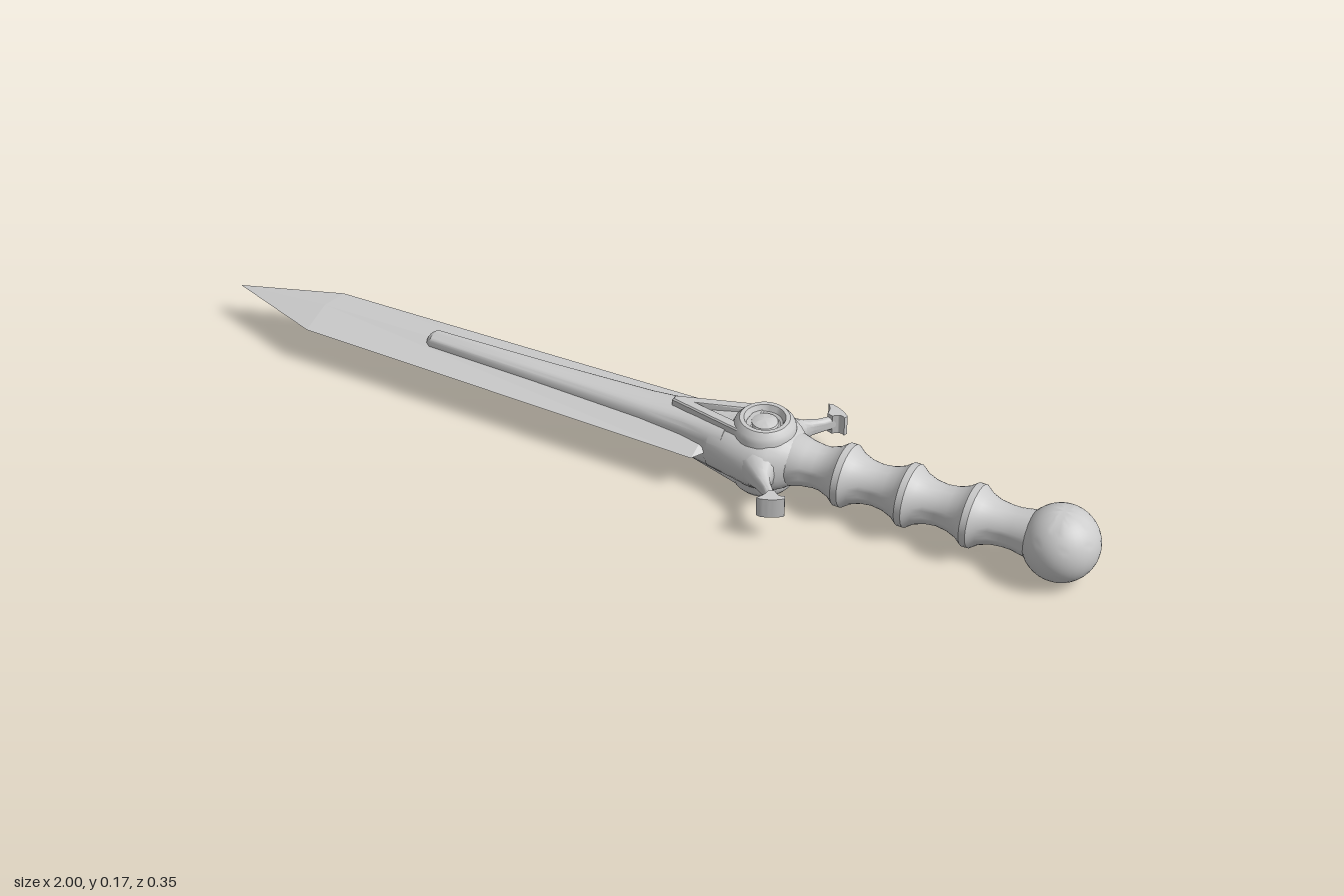
import * as THREE from 'three';
import { toCreasedNormals } from 'three/addons/utils/BufferGeometryUtils.js';

const material = new THREE.MeshStandardMaterial({ color: 0xcccccc });

function mesh(name, geometry, crease = 0.6) {
  const m = new THREE.Mesh(toCreasedNormals(geometry, crease), material);
  m.name = name;
  return m;
}

// Skin along x through superellipse rings: [x, half width z, half height y, centre z].
function loft(rings, sides, power = 2) {
  const pos = [], index = [];
  const bend = v => Math.sign(v) * Math.pow(Math.abs(v), 2 / power);
  for (const [x, w, h, z = 0] of rings) {
    for (let j = 0; j < sides; j++) {
      const a = (j / sides) * Math.PI * 2;
      pos.push(x, h * bend(Math.sin(a)), z + w * bend(Math.cos(a)));
    }
  }
  for (let i = 0; i < rings.length - 1; i++) {
    for (let j = 0; j < sides; j++) {
      const k = (j + 1) % sides, a = i * sides, b = a + sides;
      index.push(a + j, b + j, a + k, b + j, b + k, a + k);
    }
  }
  const last = (rings.length - 1) * sides;
  for (let j = 1; j < sides - 1; j++) {
    index.push(0, j, j + 1, last, last + j + 1, last + j);
  }
  const g = new THREE.BufferGeometry();
  g.setAttribute('position', new THREE.Float32BufferAttribute(pos, 3));
  g.setIndex(index);
  return g;
}

const lathe = (points, segments) =>
  new THREE.LatheGeometry(points.map(p => new THREE.Vector2(...p)), segments);

// Shared by both faces or both sides: the second copy is turned half round the long axis.
function paired(parent, make) {
  for (const turn of [0, Math.PI]) {
    const half = make();
    half.rotation.x = turn;
    parent.add(half);
  }
}

function makeBoss() {
  const boss = new THREE.Group();
  boss.name = 'guardBoss';
  // Round socket with a domed stud
  const ring = mesh('bossRing', lathe([
    [0.066, 0.03], [0.066, 0.062], [0.062, 0.072], [0.052, 0.083], [0.043, 0.083],
    [0.037, 0.07], [0.03, 0.066], [0.027, 0.073], [0.016, 0.078], [0, 0.079]], 32));
  ring.position.x = 0.27;
  boss.add(ring);
  // Pointed frame running from the socket towards the blade
  const shape = new THREE.Shape([[0.065, -0.005], [0.25, -0.052], [0.25, 0.052], [0.065, 0.005]]
    .map(p => new THREE.Vector2(...p)));
  shape.holes.push(new THREE.Path([[0.11, 0], [0.235, 0.03], [0.235, -0.03]]
    .map(p => new THREE.Vector2(...p))));
  const g = new THREE.ExtrudeGeometry(shape, {
    depth: 0.026, bevelEnabled: true, bevelSize: 0.003, bevelThickness: 0.003, bevelSegments: 1 });
  g.rotateX(-Math.PI / 2);
  const p = g.attributes.position;
  for (let i = 0; i < p.count; i++) p.setY(i, p.getY(i) + 0.034 + 0.05 * (p.getX(i) - 0.065));
  boss.add(mesh('bossFrame', g, 0.4));
  return boss;
}

function makeQuillon() {
  const quillon = new THREE.Group();
  quillon.name = 'quillon';
  // Curved horn, skinned outwards from the guard
  const horn = loft([
    [0.05, 0.06, 0.055, -0.27], [0.075, 0.045, 0.042, -0.28], [0.09, 0.03, 0.028, -0.296],
    [0.105, 0.021, 0.019, -0.315], [0.125, 0.014, 0.015, -0.338], [0.145, 0.012, 0.015, -0.355],
    [0.158, 0.014, 0.018, -0.362]], 16, 2.5);
  horn.rotateY(-Math.PI / 2);
  quillon.add(mesh('horn', horn));
  // Flared crescent end
  const s = new THREE.Shape();
  s.moveTo(0.347, 0.142);
  s.quadraticCurveTo(0.348, 0.16, 0.335, 0.173);
  s.lineTo(0.344, 0.175);
  s.quadraticCurveTo(0.37, 0.169, 0.388, 0.152);
  s.lineTo(0.385, 0.144);
  s.quadraticCurveTo(0.372, 0.153, 0.36, 0.138);
  const tip = new THREE.ExtrudeGeometry(s, { depth: 0.046, bevelEnabled: false, curveSegments: 8 });
  tip.translate(0, 0, -0.023);
  tip.rotateX(Math.PI / 2);
  quillon.add(mesh('hornTip', tip));
  return quillon;
}

export function createModel() {
  const model = new THREE.Group();
  model.name = 'dagger';
  const body = new THREE.Group();
  body.name = 'daggerBody';
  body.position.y = 0.085;
  model.add(body);

  // Diamond-section blade with a sharp point
  body.add(mesh('blade', loft([
    [-1, 0.0008, 0.0008], [-0.785, 0.076, 0.018], [0.15, 0.095, 0.028], [0.17, 0.06, 0.028]], 4), 0.05));

  // Raised spine widening towards the guard
  body.add(mesh('spine', loft([
    [-0.52, 0.018, 0.028], [-0.51, 0.024, 0.035], [-0.25, 0.031, 0.038], [0, 0.041, 0.043],
    [0.1, 0.05, 0.049], [0.16, 0.061, 0.055], [0.2, 0.068, 0.06]], 24, 3.2)));

  // Guard block
  body.add(mesh('guard', loft([
    [0.155, 0.058, 0.05], [0.17, 0.072, 0.056], [0.22, 0.08, 0.063], [0.27, 0.09, 0.069],
    [0.305, 0.087, 0.068], [0.33, 0.066, 0.062], [0.345, 0.052, 0.052]], 28, 2.3)));

  paired(body, makeBoss);
  paired(body, makeQuillon);

  // Turned grip with three double-edged ridges
  const profile = [[0, 0.32], [0.056, 0.32], [0.056, 0.345], [0.049, 0.37], [0.046, 0.395]];
  for (const c of [0.455, 0.595, 0.735]) {
    profile.push([0.047, c - 0.045], [0.055, c - 0.023], [0.064, c - 0.011], [0.067, c - 0.007],
      [0.067, c + 0.007], [0.064, c + 0.011], [0.055, c + 0.023], [0.047, c + 0.045], [0.044, c + 0.07]);
  }
  profile.push([0.044, 0.825], [0.05, 0.86]);
  const grip = mesh('grip', lathe(profile, 32));
  grip.rotation.z = -Math.PI / 2;
  body.add(grip);

  // Ball pommel
  const pommel = mesh('pommel', new THREE.SphereGeometry(0.08, 32, 24));
  pommel.position.x = 0.92;
  body.add(pommel);

  return model;
}
